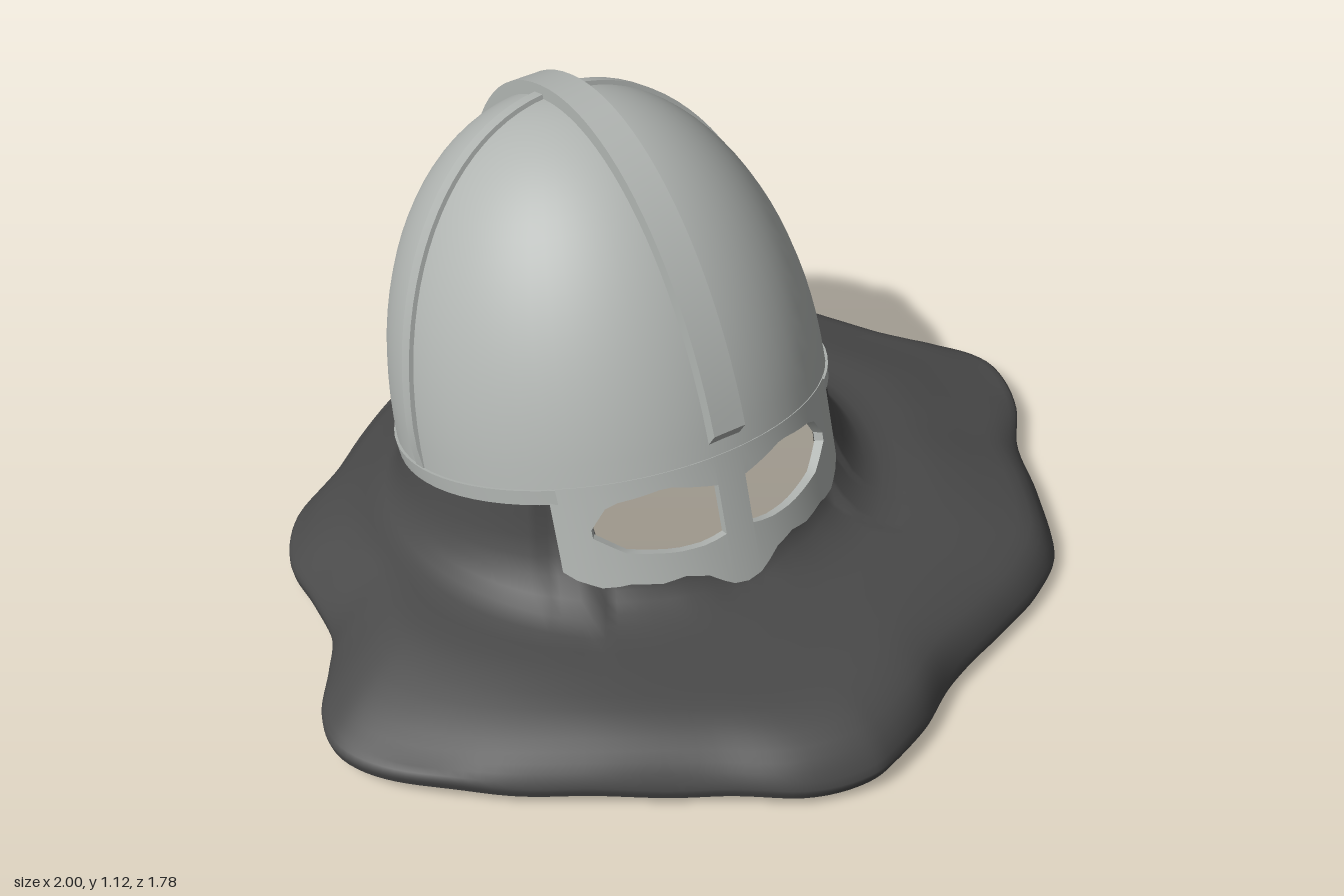
import * as THREE from 'three';
import { toCreasedNormals } from 'three/addons/utils/BufferGeometryUtils.js';

const metal = new THREE.MeshStandardMaterial({ color: 0xb1b5b2, side: THREE.DoubleSide });
metal.name = 'steel';
const fabric = new THREE.MeshStandardMaterial({ color: 0x4a4a4a, side: THREE.DoubleSide });
fabric.name = 'dark cloth';

// The helmet is half a slightly full ellipsoid leaning back about its rim centre
const TILT = 0.295, C = Math.cos(TILT), S = Math.sin(TILT);
const CX = -0.055, CY = 0.38, CZ = -0.187, R = 0.5, H = 0.735;

function mesh(name, geometry, material) {
  const m = new THREE.Mesh(geometry, material);
  m.name = name;
  return m;
}

// Point on the dome's cross-section, for a from 0 to PI
function domePoint(a, lift) {
  const full = v => Math.sign(v) * Math.pow(Math.abs(v), 0.96);
  return new THREE.Vector2((R + lift) * full(Math.cos(a)), (H + lift) * full(Math.max(0, Math.sin(a))));
}

// Piecewise-linear lookup; rows are [x, value]
function lookup(rows, x) {
  for (let i = 1; i < rows.length; i++) {
    const [x0, v0] = rows[i - 1], [x1, v1] = rows[i];
    if (x <= x1) return v0 + (v1 - v0) * Math.max(0, (x - x0) / (x1 - x0));
  }
  return rows[rows.length - 1][1];
}

// Visor outlines: half width against height, mirrored about the nose
const visorBottom = [[0, 0.226], [0.04, 0.233], [0.09, 0.268], [0.14, 0.28], [0.19, 0.27],
  [0.25, 0.274], [0.3, 0.261], [0.345, 0.275], [0.365, 0.29]];
const eyeTop = [[0.035, 0.465], [0.15, 0.49], [0.25, 0.465], [0.275, 0.45], [0.305, 0.4]];
const eyeBottom = [[0.035, 0.35], [0.08, 0.34], [0.15, 0.338], [0.25, 0.347], [0.305, 0.38]];

// Height along the helmet's own axis for a world height y at half width x
const toLocal = (x, y) => (y - CY - S * Math.sqrt(R * R - x * x)) / C;

// Curved plate with eye openings, made of thin bent cells
function visorGeometry() {
  const half = [0, 0.035, 0.06, 0.09, 0.115, 0.14, 0.165, 0.19, 0.22, 0.25, 0.275, 0.305, 0.325, 0.345, 0.365];
  const xs = [...half.slice(1).map(x => -x).reverse(), ...half];
  const out = [];
  const point = (x, v, r) => [x * r / R, v, Math.sqrt(R * R - x * x) * r / R];
  const quad = (a, b, c, d) => out.push(...a, ...b, ...c, ...a, ...c, ...d);
  const cell = (x0, t0, b0, x1, t1, b1) => {
    const ring = r => [point(x0, t0, r), point(x0, b0, r), point(x1, b1, r), point(x1, t1, r)];
    const [a, b, c, d] = ring(R + 0.002), [e, f, g, h] = ring(R - 0.02);
    quad(a, b, c, d);
    quad(e, h, g, f);
    quad(a, d, h, e);
    quad(b, f, g, c);
    quad(a, e, f, b);
    quad(d, c, g, h);
  };
  for (let i = 0; i < xs.length - 1; i++) {
    const x0 = xs[i], x1 = xs[i + 1], mid = Math.abs(x0 + x1) / 2;
    const at = table => [x0, x1].map(x => toLocal(x, lookup(table, Math.abs(x))));
    const [b0, b1] = at(visorBottom), top = 0.005;
    if (mid > 0.035 && mid < 0.305) {
      const [u0, u1] = at(eyeTop), [l0, l1] = at(eyeBottom);
      cell(x0, top, u0, x1, top, u1);
      cell(x0, l0, b0, x1, l1, b1);
    } else cell(x0, top, b0, x1, top, b1);
  }
  const g = new THREE.BufferGeometry();
  g.setAttribute('position', new THREE.Float32BufferAttribute(out, 3));
  return toCreasedNormals(g, 0.6);
}

// Strap that follows the dome's arc in the xy plane, with a slanted first end,
// thinning out over the last `taper` radians
function strapGeometry(width, lift, start, slant, taper) {
  const n = 48, arc = (from, height) => Array.from({ length: n + 1 }, (_, i) => {
    const a = from + (Math.PI - from) * i / n;
    return domePoint(a, height(a));
  });
  const outer = arc(start + slant, a => lift * Math.min(1, 0.15 + (Math.PI - a) / taper));
  const shape = new THREE.Shape([...outer, ...arc(start, () => -0.01).reverse()]);
  const g = new THREE.ExtrudeGeometry(shape, { depth: width, bevelEnabled: false });
  g.translate(0, 0, -width / 2);
  return toCreasedNormals(g, 0.5);
}

// Brim outline seen from above, as [x, z]
const outline = [[0.998, -0.1], [0.955, 0.07], [0.86, 0.2], [0.8, 0.36], [0.71, 0.53], [0.6, 0.61],
  [0.45, 0.67], [0.25, 0.74], [0.12, 0.82], [0, 0.87], [-0.07, 0.885], [-0.22, 0.85], [-0.38, 0.74],
  [-0.6, 0.6], [-0.8, 0.46], [-0.94, 0.33], [-1, 0.2], [-0.98, 0.1], [-0.9, -0.02], [-0.84, -0.12],
  [-0.82, -0.25], [-0.8, -0.4], [-0.72, -0.52], [-0.55, -0.63], [-0.35, -0.78], [-0.2, -0.84],
  [-0.02, -0.89], [0.2, -0.87], [0.38, -0.86], [0.5, -0.77], [0.69, -0.65], [0.76, -0.5],
  [0.85, -0.35], [0.95, -0.22]];

// Height of the hem against the angle around the brim, 0 in front
const hemHeight = [[-Math.PI, 0.012], [-2.8, 0.035], [-2.2, 0.035], [-1.57, 0.04], [-1.1, 0.045], [-0.6, 0.035],
  [0, 0.035], [0.4, 0.022], [0.65, 0.03], [0.9, 0.004], [1.2, 0.03], [1.45, 0.052], [1.75, 0.03],
  [2.2, 0.03], [2.8, 0.04], [Math.PI, 0.012]];

// Cloth: a collar hanging from the rim that spreads into a ragged, wavy brim
function clothGeometry() {
  const cols = 216, rows = 22, pos = [], index = [];
  const edge = new THREE.CatmullRomCurve3(outline.map(([x, z]) => new THREE.Vector3(x, 0, z)), true);
  for (let i = 0; i < cols; i++) {
    const e = edge.getPoint(i / cols);
    const a = Math.atan2(e.x - CX, e.z + 0.1), sn = Math.sin(a), cs = Math.cos(a);
    // Collar top: just under the rim, or behind the visor's lower edge in front
    const x = Math.abs(R * sn), front = cs > 0;
    const r = front && x < 0.38 ? 0.475 : 0.492;
    const v = front && x < 0.31 ? toLocal(x, lookup(visorBottom, x) + 0.045) : -0.015;
    const top = new THREE.Vector3(CX + r * sn, CY + C * v + S * r * cs, CZ + C * r * cs - S * v);
    const side = sn * sn;
    const base = new THREE.Vector3(CX + 0.57 * sn, 0.162 + 0.027 * cs + 0.035 * side - 0.0175 * sn, -0.12 + 0.555 * cs);
    const neck = new THREE.Vector3().lerpVectors(top, base, 0.22 + 0.13 * side);
    neck.y = top.y + (base.y - top.y) * 0.62;
    const wave = 0.006 * Math.sin(3 * a + 1) + 0.005 * Math.sin(7 * a);
    const hem = lookup(hemHeight, a) + 0.004 * Math.sin(17 * a);
    const brim = (t, y) => new THREE.Vector3(base.x + (e.x - base.x) * t, y, base.z + (e.z - base.z) * t);
    const profile = new THREE.CatmullRomCurve3([top, neck, base,
      brim(0.35, 0.142 + 0.03 * cs + 0.034 * side - 0.0175 * sn + wave * 0.5),
      brim(0.68, 0.134 + 0.028 * cs - 0.011 * sn + wave),
      brim(0.9, 0.098 + 0.022 * cs + wave), brim(1, hem + 0.028), brim(0.985, hem)], false, 'centripetal');
    for (let j = 0; j <= rows; j++) pos.push(...profile.getPoint(j / rows).toArray());
  }
  for (let i = 0; i < cols; i++) {
    for (let j = 0; j < rows; j++) {
      const p = i * (rows + 1) + j, q = ((i + 1) % cols) * (rows + 1) + j;
      index.push(p, q, p + 1, q, q + 1, p + 1);
    }
  }
  const g = new THREE.BufferGeometry();
  g.setAttribute('position', new THREE.Float32BufferAttribute(pos, 3));
  g.setIndex(index);
  g.computeVertexNormals();
  return g;
}

export function createModel() {
  const model = new THREE.Group();
  model.name = 'helmet';

  const shell = new THREE.Group();
  shell.name = 'helmetShell';
  shell.position.set(CX, CY, CZ);
  shell.rotation.x = -TILT;
  model.add(shell);

  // Dome
  const arc = Array.from({ length: 25 }, (_, i) => domePoint(i / 24 * Math.PI / 2, 0));
  arc[24].x = 0;
  shell.add(mesh('dome', new THREE.LatheGeometry(arc, 64), metal));

  // Tall ridge from brow to nape, and a flatter strap from side to side
  const ridge = mesh('ridge', strapGeometry(0.08, 0.03, 0.035, 0.04, 0.35), metal);
  ridge.rotation.y = -Math.PI / 2;
  shell.add(ridge, mesh('crossStrap', strapGeometry(0.035, 0.01, 0, 0, 0.1), metal));

  // Rim strip below the dome, around the sides and back
  const strip = [[0.485, -0.032], [0.502, -0.032], [0.506, 0.004], [0.485, 0.004]].map(p => new THREE.Vector2(...p));
  const rim = new THREE.LatheGeometry(strip, 56, 0.78, Math.PI * 2 - 1.56);
  shell.add(mesh('rim', toCreasedNormals(rim, 0.5), metal));

  shell.add(mesh('visor', visorGeometry(), metal));
  model.add(mesh('clothBrim', clothGeometry(), fabric));
  return model;
}
